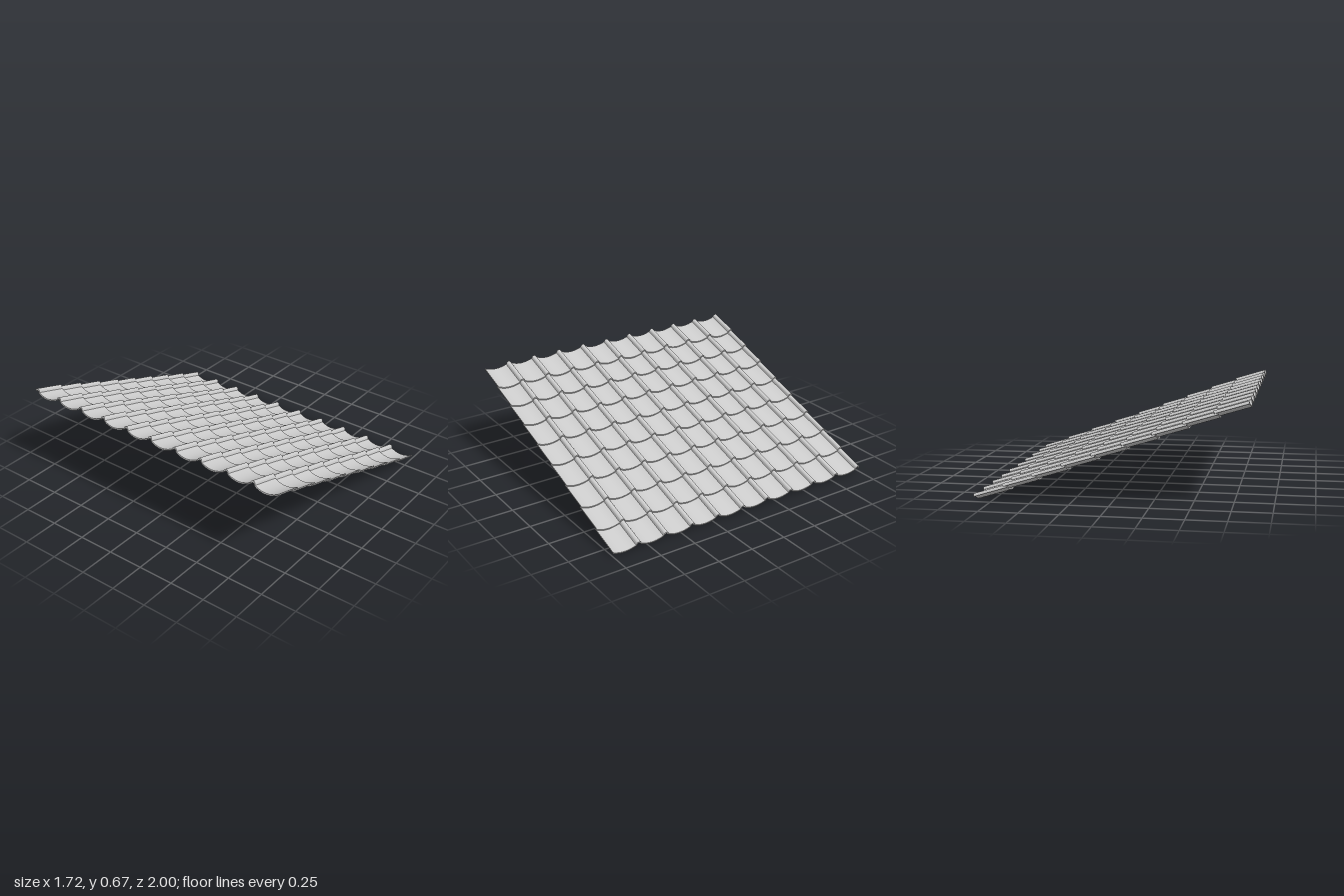
import * as THREE from 'three';
import { toCreasedNormals } from 'three/addons/utils/BufferGeometryUtils.js';

const COLUMNS = 10, ROWS = 9;
const WIDTH = 0.2, LENGTH = 0.219, THICK = 0.009;
const PITCH = 0.297; // tilt of one tile, in radians
const STEP_X = 0.187, STEP_Y = 0.0697; // offset from one row to the next

// Cross-section: a shallow trough with a rounded roll along one edge
function tileProfile() {
  const top = [], under = [];
  const rollZ = 0.017, rollY = 0.034, outer = 0.0165, inner = 0.009;
  for (let i = 0; i <= 8; i++) {
    const a = Math.PI * (1 - i / 8);
    top.push(new THREE.Vector2(rollZ + outer * Math.cos(a), rollY + outer * Math.sin(a)));
    under.push(new THREE.Vector2(rollZ + inner * Math.cos(a), rollY - 0.004 + inner * Math.sin(a)));
  }
  for (let i = 0; i <= 14; i++) {
    const z = 0.036 + (WIDTH - 0.036) * i / 14;
    const y = 0.024 * ((z - 0.113) / 0.087) ** 2;
    top.push(new THREE.Vector2(z, y + THICK));
    under.push(new THREE.Vector2(z, y));
  }
  return new THREE.Shape([...under, ...top.reverse()]);
}

export function createModel() {
  const roof = new THREE.Group();
  roof.name = 'tiledRoof';
  const material = new THREE.MeshStandardMaterial({ color: 0xcccccc, side: THREE.DoubleSide });

  // One tile, running uphill from its lower end
  const extruded = new THREE.ExtrudeGeometry(tileProfile(), { depth: LENGTH, bevelEnabled: false, steps: 1 });
  extruded.rotateY(-Math.PI / 2).rotateZ(-PITCH);
  const tileGeometry = toCreasedNormals(extruded, 0.6);

  // Overlapping rows, each lifted over the row below it
  for (let r = 0; r < ROWS; r++) {
    const row = new THREE.Group();
    row.name = `tileRow${r + 1}`;
    row.position.set(0.845 - r * STEP_X, r * STEP_Y, 0);
    for (let c = 0; c < COLUMNS; c++) {
      const tile = new THREE.Mesh(tileGeometry, material);
      tile.name = `tile${c + 1}`;
      tile.position.z = -1 + c * WIDTH;
      row.add(tile);
    }
    roof.add(row);
  }
  return roof;
}
